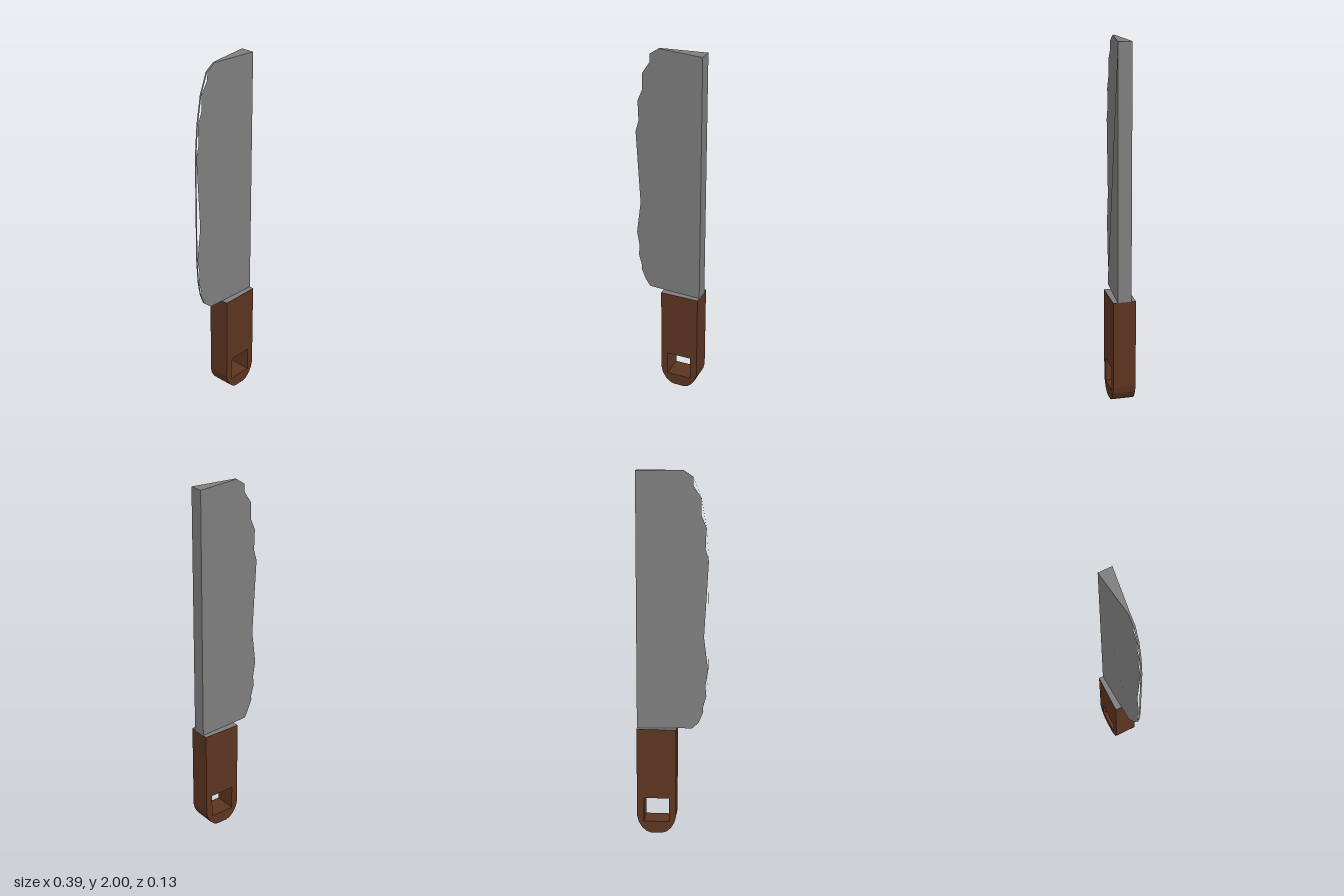
import * as THREE from 'three';

const STEEL = 0x7e7e7e;
const WOOD = 0x5c3521;

// Blade: [x, y, half thickness], from the spine's top, anticlockwise seen from the front
const OUTLINE = [
  [0.193, 2, 0.038], [-0.058, 2, 0.005], [-0.11, 1.965, 0.005], [-0.154, 1.855, 0.005],
  [-0.181, 1.70, 0.005], [-0.195, 1.525, 0.005], [-0.195, 0.92, 0.005], [-0.186, 0.78, 0.005],
  [-0.17, 0.69, 0.005], [-0.144, 0.627, 0.005], [-0.11, 0.6, 0.0215], [0.193, 0.6, 0.038],
];

function bladeGeometry() {
  const n = OUTLINE.length;
  const heel = 9;
  const corner = (i, side) => [OUTLINE[i][0], OUTLINE[i][1], side * OUTLINE[i][2]];

  // Wedge from spine to edge, then the thin strip along the cutting edge
  const triangles = [[0, heel, heel + 1], [0, heel + 1, heel + 2], [0, 1, heel]];
  for (let i = 2; i < heel; i++) triangles.push([1, i, heel]);

  const positions = [];
  for (const [a, b, c] of triangles) positions.push(...corner(a, 1), ...corner(b, 1), ...corner(c, 1));
  for (const [a, b, c] of triangles) positions.push(...corner(a, -1), ...corner(c, -1), ...corner(b, -1));

  // Rim joining the two faces
  for (let i = 0; i < n; i++) {
    const j = (i + 1) % n;
    positions.push(
      ...corner(i, 1), ...corner(i, -1), ...corner(j, 1),
      ...corner(j, 1), ...corner(i, -1), ...corner(j, -1),
    );
  }

  const geometry = new THREE.BufferGeometry();
  geometry.setAttribute('position', new THREE.Float32BufferAttribute(positions, 3));
  geometry.computeVertexNormals();

  // Each broad face is shaded evenly with a single normal
  const perFace = triangles.length * 3;
  const normal = new THREE.Vector3(-0.09, 0, 1).normalize();
  for (let i = 0; i < perFace * 2; i++) {
    geometry.attributes.normal.setXYZ(i, normal.x, 0, i < perFace ? normal.z : -normal.z);
  }
  return geometry;
}

// Handle: rounded butt with a square hanging hole, extruded across z
const CX = 0.084;
const HALF_WIDTH = 0.109;
const DEPTH = 0.126;

function handleGeometry() {
  const half = [[HALF_WIDTH, 0.6], [HALF_WIDTH, 0.1], [0.1, 0.063], [0.08, 0.03], [0.055, 0.008], [0.032, 0]];
  const points = [
    ...half.map(([x, y]) => new THREE.Vector2(CX - x, y)),
    ...[...half].reverse().map(([x, y]) => new THREE.Vector2(CX + x, y)),
  ];
  const shape = new THREE.Shape(points);
  const corners = [[-0.07, 0.067], [-0.07, 0.203], [0.07, 0.203], [0.07, 0.067]];
  shape.holes.push(new THREE.Path(corners.map(([x, y]) => new THREE.Vector2(CX + x, y))));
  return new THREE.ExtrudeGeometry(shape, { depth: DEPTH, bevelEnabled: false }).translate(0, 0, -DEPTH / 2);
}

export function createModel() {
  const model = new THREE.Group();
  model.name = 'knife';

  const add = (name, geometry, color, flatShading) => {
    const mesh = new THREE.Mesh(geometry, new THREE.MeshStandardMaterial({ color, flatShading }));
    mesh.name = name;
    model.add(mesh);
    return mesh;
  };

  add('blade', bladeGeometry(), STEEL, false);
  add('handle', handleGeometry(), WOOD, true);

  // Steel face closing the top of the handle
  const cap = add('handleCap', new THREE.PlaneGeometry(HALF_WIDTH * 2, DEPTH), STEEL, true);
  cap.rotation.x = -Math.PI / 2;
  cap.position.set(CX, 0.601, 0);

  return model;
}
